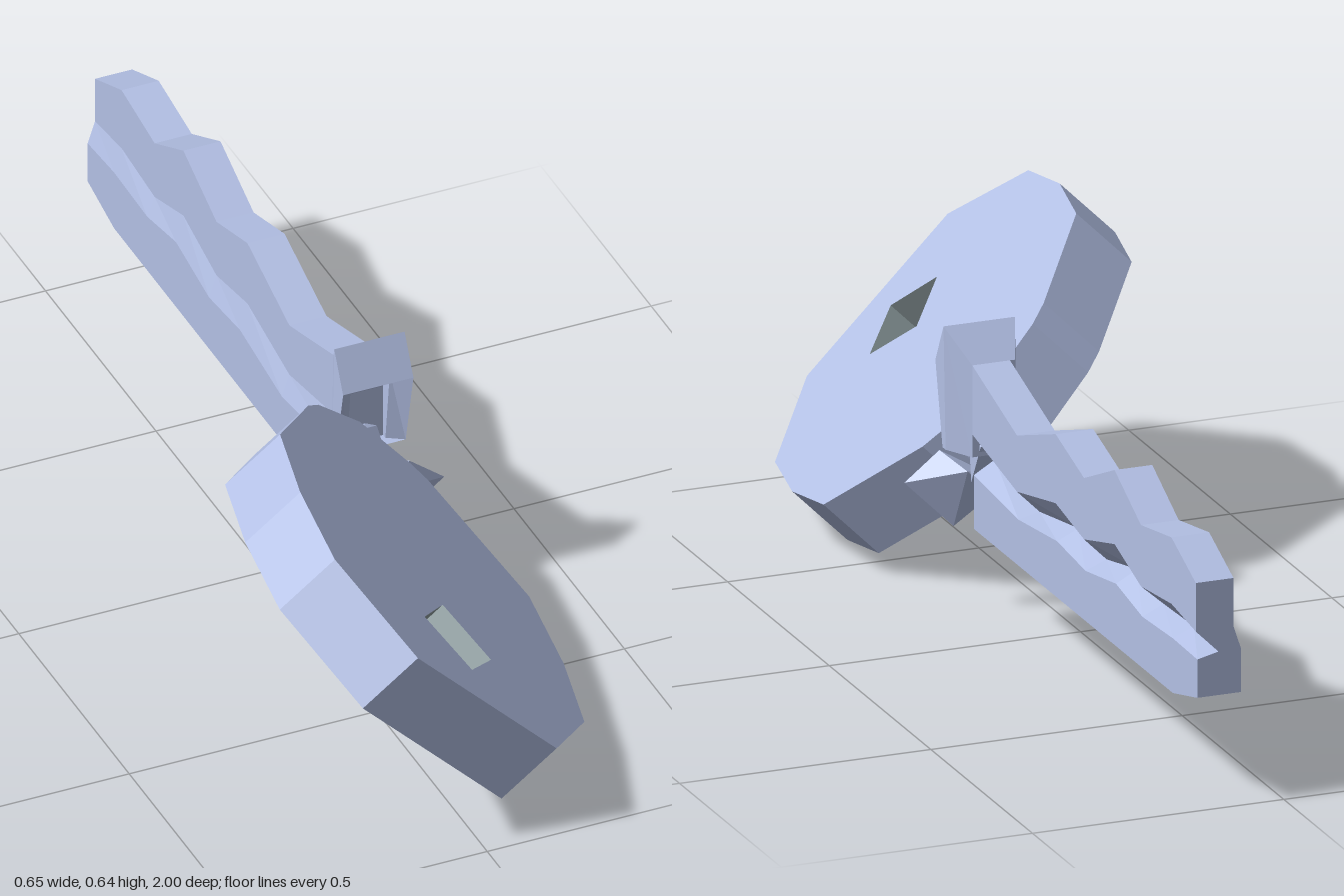
import * as THREE from 'three';
import { ConvexGeometry } from 'three/addons/geometries/ConvexGeometry.js';

// Skin over equal-length rings, listed front to back, each counter-clockwise seen from +z
function loft(rings) {
  const pos = [];
  const tri = (...pts) => pts.forEach((p) => pos.push(...p));
  for (let r = 0; r < rings.length - 1; r++) {
    const a = rings[r], b = rings[r + 1];
    for (let i = 0; i < a.length; i++) {
      const j = (i + 1) % a.length;
      tri(a[i], b[i], a[j]);
      tri(b[i], b[j], a[j]);
    }
  }
  const flat = (ring) => ring.map((p) => new THREE.Vector2(p[0], p[1]));
  const first = rings[0], last = rings[rings.length - 1];
  for (const [i, j, k] of THREE.ShapeUtils.triangulateShape(flat(first), [])) tri(first[i], first[j], first[k]);
  for (const [i, j, k] of THREE.ShapeUtils.triangulateShape(flat(last), [])) tri(last[i], last[k], last[j]);
  const geo = new THREE.BufferGeometry();
  geo.setAttribute('position', new THREE.Float32BufferAttribute(pos, 3));
  geo.computeVertexNormals();
  return geo;
}

export function createModel() {
  const model = new THREE.Group();
  const steel = new THREE.MeshStandardMaterial({ color: 0xb3c0e5 });
  steel.name = 'paleBlueSteel';
  const grey = new THREE.MeshStandardMaterial({ color: 0x98a8aa });
  grey.name = 'greenishGrey';
  const add = (name, geo, material = steel) => {
    const mesh = new THREE.Mesh(geo, material);
    mesh.name = name;
    model.add(mesh);
  };

  // Tilted polygonal head with a diamond hole
  const outline = [
    [0.14, 0], [0.254, 0.18], [0.27, 0.36], [0.258, 0.54], [0.118, 0.745], [0.09, 0.765], [0, 0.8],
    [-0.097, 0.76], [-0.127, 0.73], [-0.245, 0.54], [-0.262, 0.36], [-0.25, 0.18], [-0.14, 0],
  ];
  const hole = [[0, 0.095], [-0.067, 0.185], [0, 0.28], [0.067, 0.185]];
  const toVec = ([x, y]) => new THREE.Vector2(x, y);
  const shape = new THREE.Shape(outline.map(toVec));
  shape.holes.push(new THREE.Path(hole.map(toVec)));
  const head = new THREE.ExtrudeGeometry(shape, { depth: 1, bevelEnabled: false });
  head.applyMatrix4(new THREE.Matrix4().makeBasis(
    new THREE.Vector3(1, -1, 0),
    new THREE.Vector3(0.125, 0.125, -1),
    new THREE.Vector3(0.1, 0.1, 0.025),
  ).setPosition(-0.1, 0.23, 0.975));
  // The hole walls are the last faces and take the grey
  const holeCount = hole.length * 6;
  const solidCount = head.attributes.position.count - holeCount;
  head.clearGroups();
  head.addGroup(0, solidCount, 0);
  head.addGroup(solidCount, holeCount, 1);
  add('head', head, [steel, grey]);

  // Toothed blade: z, top, underside of upper half, groove depth, shelf, bottom
  const stations = [
    [0.1, 0.51, 0.375, 0.32, 0.295, 0.19],
    [-0.12, 0.445, 0.335, 0.29, 0.28, 0.19],
    [-0.31, 0.51, 0.375, 0.32, 0.3, 0.19],
    [-0.45, 0.47, 0.35, 0.305, 0.288, 0.19],
    [-0.6, 0.535, 0.39, 0.335, 0.312, 0.19],
    [-0.73, 0.47, 0.35, 0.31, 0.29, 0.19],
    [-0.88, 0.495, 0.365, 0.315, 0.297, 0.19],
    [-1, 0.445, 0.35, 0.305, 0.295, 0.22],
  ];
  add('blade', loft(stations.map(([z, top, under, groove, shelf, bottom]) => [
    [0.175, top, z], [0.1, top, z], [0.1, under, z], [0.085, groove, z],
    [0.085, bottom, z], [0.172, bottom, z], [0.172, shelf, z], [0.13, groove, z], [0.175, under, z],
  ])));

  // Flared upper collar with a recessed front
  const ring = (x0, x1, yTop, zTop, yLow, zLow) =>
    [[x1, yTop, zTop], [x0, yTop, zTop], [x0, yLow, zLow], [x1, yLow, zLow]];
  add('upperCollar', loft([
    ring(0.1, 0.178, 0.445, 0.13, 0.335, 0.13),
    ring(0.1, 0.178, 0.495, 0.16, 0.335, 0.14),
    ring(0.068, 0.21, 0.495, 0.195, 0.335, 0.16),
    ring(0.068, 0.21, 0.573, 0.155, 0.335, 0.145),
    ring(0.09, 0.175, 0.51, 0.1, 0.33, 0.1),
  ]));

  // Small pointed lower collar, turned to the slant of the head
  const hull = (pts) => new ConvexGeometry(pts.map((p) => new THREE.Vector3(...p)));
  add('lowerCollar', hull([
    [0.27, 0.26, 0.2], [0.18, 0.17, 0.18], [0.2, 0.315, 0.2], [0.11, 0.26, 0.205],
    [0.17, 0.29, 0.135], [0.12, 0.24, 0.135],
  ]));

  // Slim neck joining head, collars and blade
  add('neck', hull([
    [0.1, 0.42, 0.21], [0.14, 0.38, 0.21], [0.03, 0.35, 0.2], [0.08, 0.3, 0.2],
    [0.105, 0.37, 0.13], [0.165, 0.36, 0.13], [0.1, 0.27, 0.13], [0.165, 0.27, 0.13],
    [0.105, 0.35, 0.095], [0.16, 0.35, 0.095],
  ]));

  return model;
}
